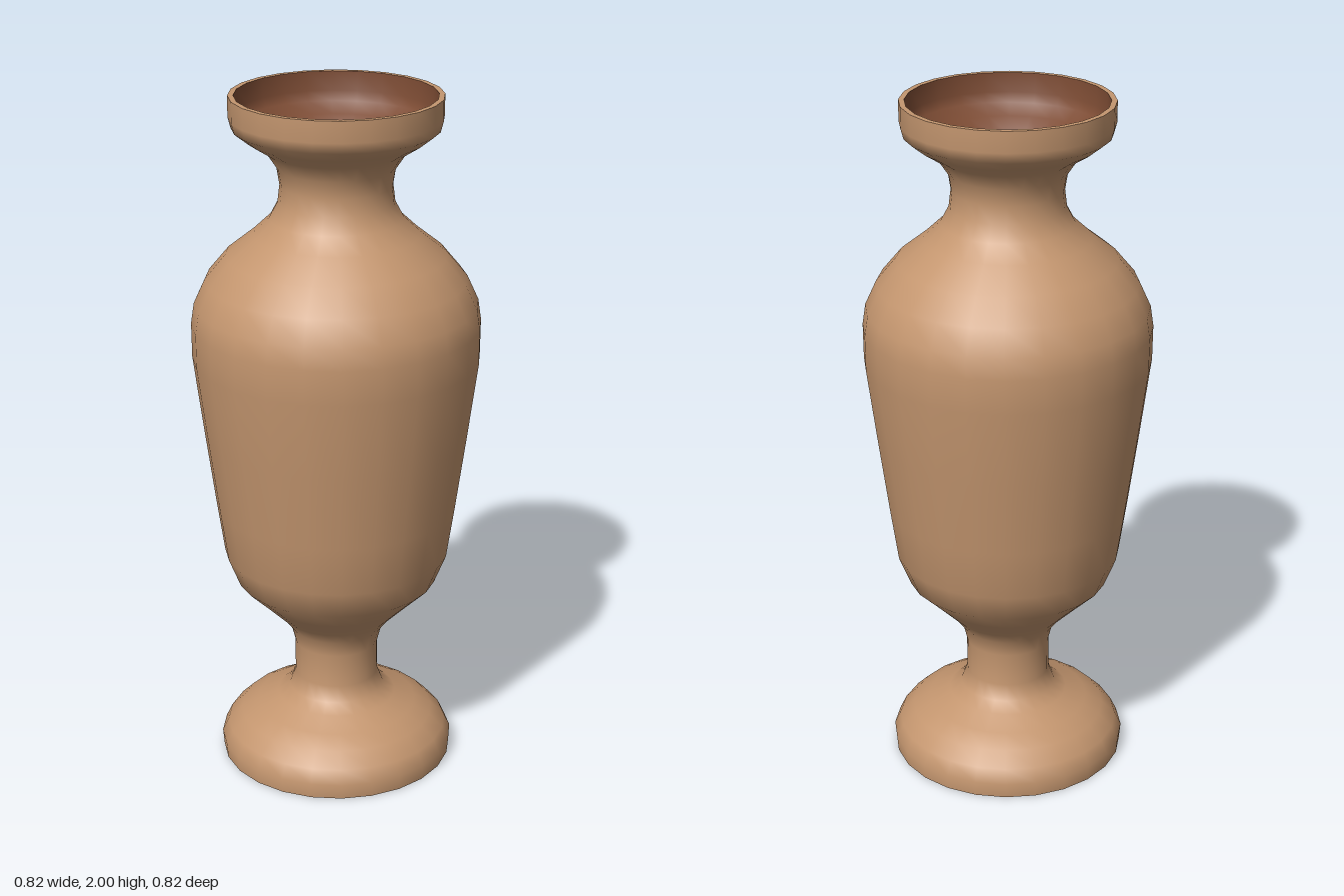
import * as THREE from 'three';

const SEGMENTS = 24;

export function createModel() {
  const urn = new THREE.Group();
  urn.name = 'urn';

  const clay = new THREE.MeshStandardMaterial({ color: 0xc4966f });
  clay.name = 'tan clay';
  const lining = new THREE.MeshStandardMaterial({ color: 0x7d4c34 });
  lining.name = 'brown lining';
  const plug = new THREE.MeshStandardMaterial({ color: 0x75644a });
  plug.name = 'olive plug';

  // Turned part from [radius, height] pairs; rising profiles face outward, falling ones inward
  function turned(name, profile, material) {
    const points = profile.map(([r, y]) => new THREE.Vector2(r, y));
    const mesh = new THREE.Mesh(new THREE.LatheGeometry(points, SEGMENTS), material);
    mesh.name = name;
    urn.add(mesh);
  }

  // Outer wall: foot, stem, body, neck and cup
  turned('outerWall', [
    [0.34, 0], [0.344, 0.045], [0.325, 0.085], [0.285, 0.125], [0.235, 0.152],
    [0.175, 0.18], [0.14, 0.205], [0.122, 0.25], [0.122, 0.35], [0.135, 0.4],
    [0.165, 0.44], [0.225, 0.5], [0.292, 0.565], [0.326, 0.65], [0.348, 0.8],
    [0.378, 1.02], [0.408, 1.25], [0.409, 1.35], [0.4, 1.41], [0.368, 1.48],
    [0.31, 1.55], [0.235, 1.61], [0.187, 1.655], [0.163, 1.7], [0.157, 1.75],
    [0.165, 1.8], [0.195, 1.845], [0.25, 1.88], [0.288, 1.91], [0.296, 1.94], [0.296, 2],
  ], clay);

  // Flat edges of the mouth and the foot
  turned('mouthRim', [[0.296, 2], [0.28, 2]], clay);
  turned('footRim', [[0.305, 0], [0.34, 0]], clay);

  // Inside of the cup, neck and body
  turned('innerWall', [
    [0.28, 2], [0.278, 1.945], [0.265, 1.918], [0.225, 1.89], [0.17, 1.855],
    [0.137, 1.81], [0.126, 1.75], [0.135, 1.69], [0.165, 1.635], [0.22, 1.58],
    [0.29, 1.525], [0.345, 1.46], [0.375, 1.39], [0.38, 1.25], [0.35, 1.02],
    [0.32, 0.8], [0.298, 0.66], [0.265, 0.59],
  ], lining);

  // Hollow underside of the foot
  turned('footHollow', [[0.24, 0.11], [0.275, 0.08], [0.3, 0.045], [0.305, 0]], lining);

  // Floor inside the body, facing up, and plug under the foot, facing down
  turned('bodyFloor', [[0.27, 0.6], [0, 0.6]], plug);
  turned('footPlug', [[0, 0.085], [0.27, 0.085]], plug);

  return urn;
}
